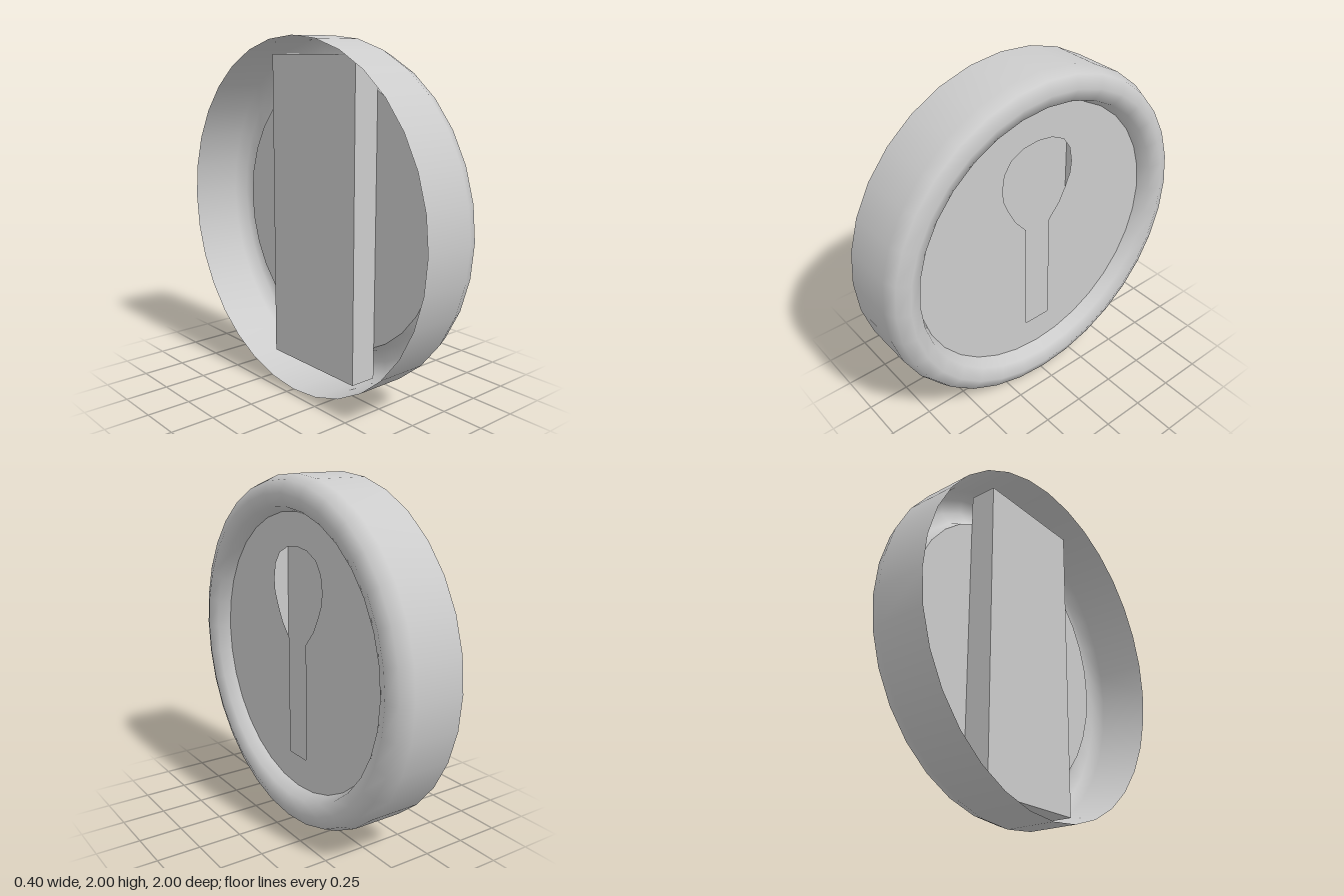
import * as THREE from 'three';

const SEGMENTS = 32;
const FACE_X = 0.1; // plane of the recessed face plate
const BACK_X = -0.2; // open back edge

function createMaterial() {
  return new THREE.MeshStandardMaterial({ color: 0xcccccc, side: THREE.DoubleSide });
}

// Outer wall that rolls over a rounded lip down to the face plate
function createRim() {
  const profile = [new THREE.Vector2(1, BACK_X)];
  for (let i = 0; i <= 4; i++) {
    const a = (i / 4) * Math.PI;
    profile.push(new THREE.Vector2(0.9 + 0.1 * Math.cos(a), FACE_X + 0.1 * Math.sin(a)));
  }
  const geometry = new THREE.LatheGeometry(profile, SEGMENTS);
  geometry.rotateZ(-Math.PI / 2);
  const rim = new THREE.Mesh(geometry, createMaterial());
  rim.name = 'rim';
  return rim;
}

// Half outline of the keyhole, from the bottom of the slot to the top of the bulb
const KEYHOLE_HALF = [
  [0.083, -0.61], [0.083, 0.08], [0.155, 0.165], [0.2, 0.25], [0.233, 0.33],
  [0.24, 0.4], [0.225, 0.49], [0.178, 0.56], [0.096, 0.6],
];

// Flat disc pierced by the keyhole
function createFacePlate() {
  const circle = [];
  for (let i = 0; i < SEGMENTS; i++) {
    const a = (i / SEGMENTS) * Math.PI * 2;
    circle.push(new THREE.Vector2(0.8 * Math.cos(a), 0.8 * Math.sin(a)));
  }
  const right = KEYHOLE_HALF.map(([x, y]) => new THREE.Vector2(x, y));
  const left = KEYHOLE_HALF.map(([x, y]) => new THREE.Vector2(-x, y)).reverse();
  const shape = new THREE.Shape(circle);
  shape.holes.push(new THREE.Path([...right, new THREE.Vector2(0, 0.613), ...left]));

  const geometry = new THREE.ShapeGeometry(shape);
  geometry.rotateY(Math.PI / 2);
  geometry.translate(FACE_X, 0, 0);
  const plate = new THREE.Mesh(geometry, createMaterial());
  plate.name = 'facePlate';
  return plate;
}

// Hollow box behind the keyhole, open towards the face plate
function createLockBox() {
  const depth = 0.16;
  const geometry = new THREE.BoxGeometry(depth, 1.8, 0.7);
  geometry.setIndex(Array.from(geometry.index.array).slice(6)); // drop the +x side
  geometry.clearGroups();
  geometry.translate(FACE_X - depth / 2, 0, 0);
  const box = new THREE.Mesh(geometry, createMaterial());
  box.name = 'lockBox';
  return box;
}

export function createModel() {
  const model = new THREE.Group();
  model.name = 'keyholeLock';
  const lock = new THREE.Group();
  lock.name = 'lockBody';
  lock.add(createRim(), createFacePlate(), createLockBox());
  lock.position.y = 1;
  model.add(lock);
  return model;
}
